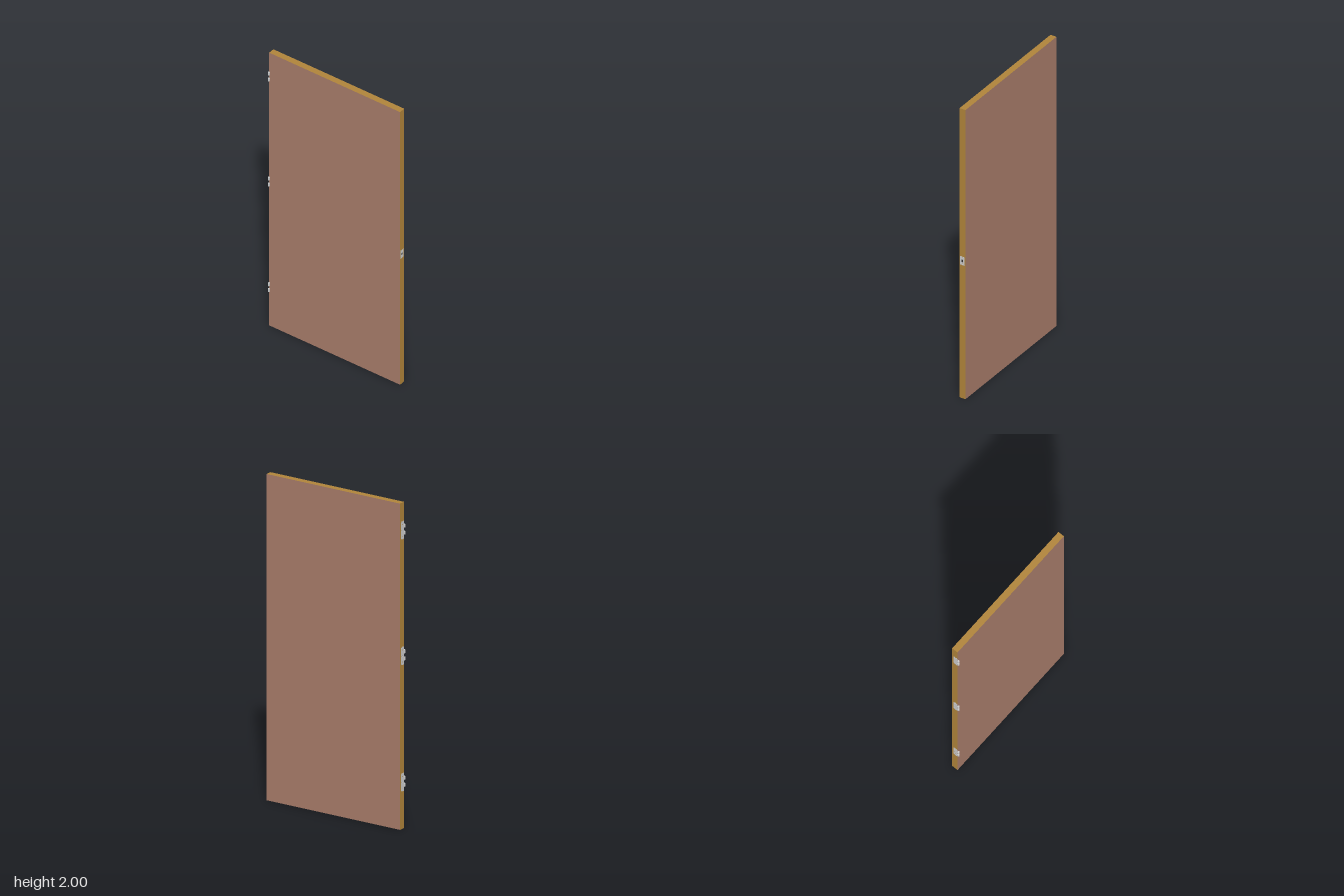
import * as THREE from 'three';

const paint = (color) => new THREE.MeshStandardMaterial({ color });

function add(parent, name, geometry, material, x = 0, y = 0, z = 0) {
  const mesh = new THREE.Mesh(geometry, material);
  mesh.name = name;
  mesh.position.set(x, y, z);
  parent.add(mesh);
  return mesh;
}

function hinge(metal) {
  const group = new THREE.Group();
  group.name = 'hinge';

  // Leaf with rounded inner corners, lying on the rear edge of the door
  const h = 0.055, r = 0.012, inner = 0.017, outer = -0.0145;
  const leaf = new THREE.Shape();
  leaf.moveTo(outer, -h);
  leaf.lineTo(inner - r, -h);
  leaf.absarc(inner - r, -h + r, r, -Math.PI / 2, 0);
  leaf.lineTo(inner, h - r);
  leaf.absarc(inner - r, h - r, r, 0, Math.PI / 2);
  leaf.lineTo(outer, h);
  leaf.closePath();
  // Screw holes
  for (const [x, y] of [[0.004, -0.036], [0.004, 0.036], [0.007, 0]]) {
    leaf.holes.push(new THREE.Path().absarc(x, y, 0.003, 0, Math.PI * 2, true));
  }
  add(group, 'hingeLeaf', new THREE.ExtrudeGeometry(leaf, { depth: 0.001, bevelEnabled: false, curveSegments: 8 }),
    metal, 0, 0, -0.476);

  // Two knuckles, each joined to the leaf by a short tab
  for (const y of [-0.0215, 0.0215]) {
    add(group, 'hingeKnuckle', new THREE.CylinderGeometry(0.006, 0.006, 0.021, 20), metal, -0.0212, y, -0.473);
    add(group, 'hingeTab', new THREE.BoxGeometry(0.008, 0.021, 0.0014), metal, -0.0165, y, -0.4753);
  }
  return group;
}

function strikePlate(metal) {
  // Lock face plate with a latch opening and two screw holes
  const w = 0.015, h = 0.029;
  const shape = new THREE.Shape();
  shape.moveTo(-w, -h);
  shape.lineTo(w, -h);
  shape.lineTo(w, h);
  shape.lineTo(-w, h);
  shape.closePath();
  const slot = new THREE.Path();
  slot.moveTo(-0.005, -0.009);
  slot.lineTo(-0.005, 0.009);
  slot.lineTo(0.005, 0.009);
  slot.lineTo(0.005, -0.009);
  slot.closePath();
  shape.holes.push(slot);
  for (const y of [-0.021, 0.021]) {
    shape.holes.push(new THREE.Path().absarc(0, y, 0.0025, 0, Math.PI * 2, true));
  }
  return new THREE.ExtrudeGeometry(shape, { depth: 0.001, bevelEnabled: false, curveSegments: 8 });
}

export function createModel() {
  const model = new THREE.Group();
  model.name = 'door';
  const metal = paint(0xcccccc);
  const face = paint(0xa87c6a);
  const edge = paint(0xb0843a);
  const foot = paint(0xa8503c);

  // Slab: broad faces on +x and -x, timber edges all round
  add(model, 'doorSlab', new THREE.BoxGeometry(0.041, 2, 0.949),
    [face, face, edge, foot, edge, edge], 0.006, 1, -0.0005);

  // Hinges on the rear edge
  for (const y of [0.285, 1.06, 1.83]) {
    const part = hinge(metal);
    part.position.y = y;
    model.add(part);
  }

  // Lock plate and latch on the front edge
  add(model, 'lockPlate', strikePlate(metal), metal, 0.005, 0.95, 0.474);
  add(model, 'latchOpening', new THREE.BoxGeometry(0.01, 0.018, 0.0004), paint(0x333333), 0.005, 0.95, 0.4741);

  return model;
}
